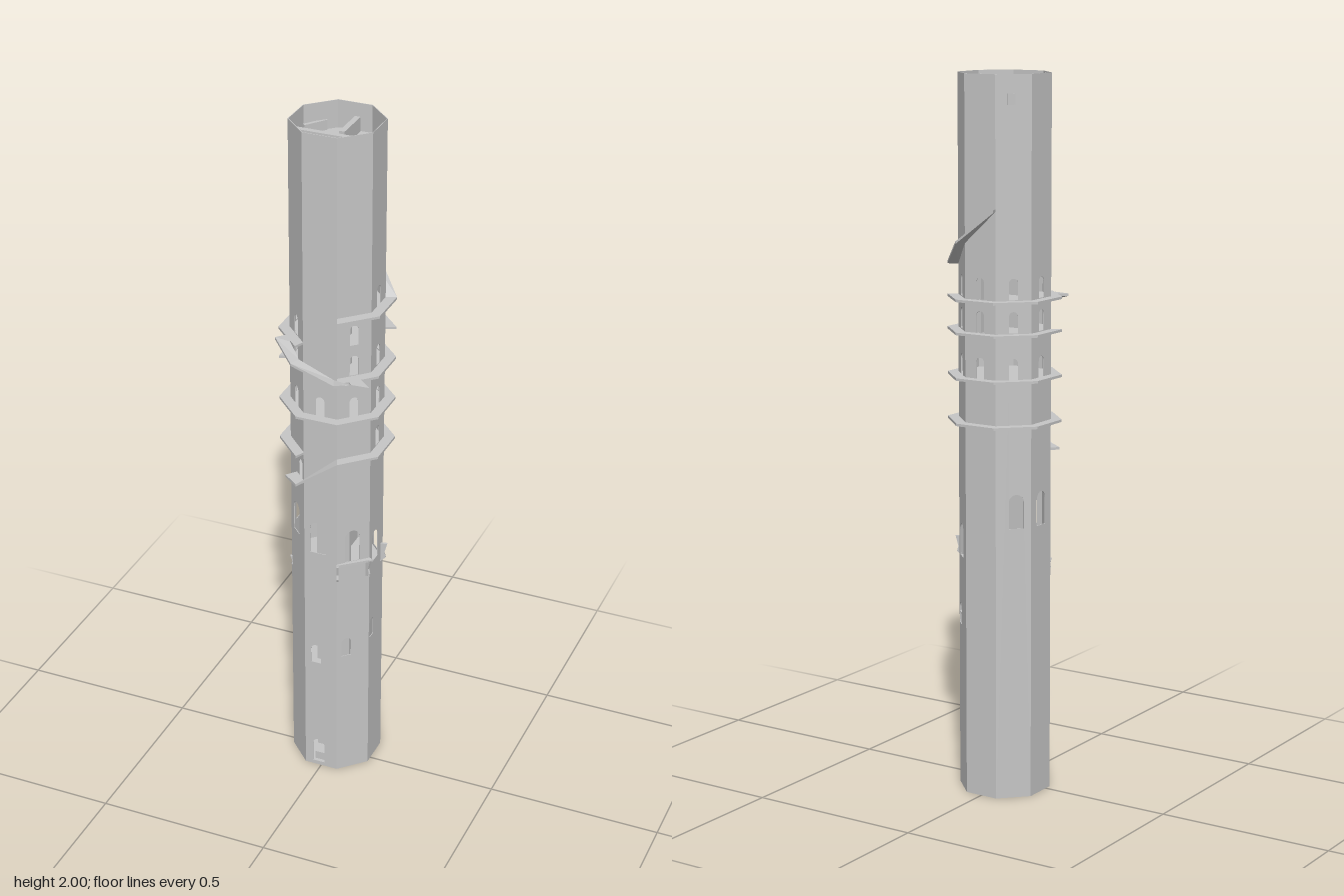
import * as THREE from 'three';

const CZ = -0.029, A = 0.119, T = Math.tan(Math.PI / 8), STEP = Math.PI / 4;

export function createModel() {
  const tower = new THREE.Group();
  tower.name = 'tower';
  const stone = new THREE.MeshStandardMaterial({ color: 0xc6c6c6, flatShading: true, side: THREE.DoubleSide });
  stone.name = 'grey stone';

  const add = (name, geo, x = 0, y = 0, z = 0, ry = 0) => {
    const m = new THREE.Mesh(geo, stone);
    m.name = name;
    m.position.set(x, y, z);
    m.rotation.y = ry;
    tower.add(m);
    return m;
  };
  const box = (name, w, h, d, x, y, z, ry) => add(name, new THREE.BoxGeometry(w, h, d), x, y, z, ry);

  // Octagon corner; face k lies between corners k and k + 1, face 0 is the front
  const corner = (k, a, y) => {
    const r = a / Math.cos(Math.PI / 8), t = (k - 0.5) * STEP;
    return [r * Math.sin(t), y, CZ + r * Math.cos(t)];
  };

  // Walkway slab through matching inner and outer edge points
  const walkway = (name, inner, outer, thick = 0.007) => {
    const pos = [], idx = [], n = inner.length;
    for (let i = 0; i < n; i++) {
      const [a, b] = [inner[i], outer[i]];
      pos.push(...a, ...b, b[0], b[1] - thick, b[2], a[0], a[1] - thick, a[2]);
      if (i < n - 1) {
        for (let j = 0; j < 4; j++) {
          const p = i * 4 + j, q = i * 4 + (j + 1) % 4;
          idx.push(p, q, p + 4, q, q + 4, p + 4);
        }
      }
    }
    const e = (n - 1) * 4;
    idx.push(0, 2, 1, 0, 3, 2, e, e + 1, e + 2, e, e + 2, e + 3);
    // Reverse each triangle so the outside faces forward
    for (let i = 0; i < idx.length; i += 3) [idx[i + 1], idx[i + 2]] = [idx[i + 2], idx[i + 1]];
    const g = new THREE.BufferGeometry();
    g.setAttribute('position', new THREE.Float32BufferAttribute(pos, 3));
    g.setIndex(idx);
    g.computeVertexNormals();
    add(name, g);
  };
  const ring = (name, y, from, to) => {
    const inner = [], outer = [];
    for (let k = from; k <= to + 1; k++) {
      inner.push(corner(k, A - 0.001, y));
      outer.push(corner(k, 0.147, y));
    }
    walkway(name, inner, outer);
  };

  // Arched opening: u offset, bottom, width, height
  const arch = ([u, y, w, h]) => {
    const p = new THREE.Path(), r = w / 2;
    p.moveTo(u - r, y);
    p.lineTo(u + r, y);
    p.lineTo(u + r, y + h - r);
    p.absarc(u, y + h - r, r, 0, Math.PI, false);
    p.lineTo(u - r, y);
    return p;
  };
  const row = (...ys) => ys.map(y => [0, y, 0.025, 0.058]);
  const openings = [
    [[-0.008, 0.012, 0.036, 0.08], [-0.015, 0.365, 0.032, 0.06], [-0.008, 0.74, 0.048, 0.1], ...row(1.183)],
    [[-0.02, 0.4, 0.03, 0.06], [-0.003, 0.718, 0.044, 0.1], ...row(1.183, 1.31, 1.4)],
    [[-0.03, 0.44, 0.026, 0.06], [-0.01, 0.69, 0.042, 0.095], ...row(1.06, 1.183, 1.31, 1.488)],
    [[-0.03, 0.47, 0.03, 0.06], [-0.01, 0.668, 0.046, 0.095], ...row(1.183, 1.31, 1.4)],
    row(1.183, 1.31, 1.4),
    [[0.008, 0.77, 0.042, 0.095], ...row(1.183, 1.31, 1.4)],
    [[0, 0.77, 0.042, 0.095], ...row(1.183, 1.31, 1.4)],
    [[-0.008, 0.77, 0.042, 0.095], [0.027, 0.968, 0.025, 0.055], ...row(1.183, 1.31, 1.4)],
  ];

  // Eight thin wall panels
  openings.forEach((holes, k) => {
    const s = new THREE.Shape(), w = A * T;
    s.moveTo(-w, 0);
    s.lineTo(w, 0);
    s.lineTo(w, 2);
    s.lineTo(-w, 2);
    s.closePath();
    s.holes = holes.map(arch);
    const g = new THREE.ExtrudeGeometry(s, { depth: 0.002, bevelEnabled: false, curveSegments: 6 });
    const t = k * STEP;
    add('wallPanel', g, (A - 0.002) * Math.sin(t), 0, CZ + (A - 0.002) * Math.cos(t), t);
  });

  // Octagonal floors
  const floorR = (A - 0.001) / Math.cos(Math.PI / 8);
  for (const y of [0.002, 0.31, 0.5, 0.66, 0.87, 0.965, 1.055, 1.18, 1.305, 1.395, 1.48, 1.92]) {
    add('floor', new THREE.CylinderGeometry(floorR, floorR, 0.004, 8), 0, y, CZ, Math.PI / 8);
  }

  // Inner partitions, with a gap at the lookout storey
  for (const [y0, y1] of [[0, 1.18], [1.245, 1.92]]) {
    box('partition', 0.1, y1 - y0, 0.012, 0, (y0 + y1) / 2, -0.006);
    box('crossPartition', 0.015, y1 - y0, 0.105, 0.008, (y0 + y1) / 2, -0.09);
  }
  // Low walls, ledges and blocks on the top floor
  box('topWall', 0.235, 0.045, 0.016, 0, 1.94, -0.013);
  box('topLedge', 0.22, 0.03, 0.017, 0.007, 1.935, -0.029);
  box('topCrossWall', 0.016, 0.045, 0.107, 0.008, 1.94, -0.091);
  box('topBlock', 0.016, 0.03, 0.05, -0.01, 1.935, -0.062);
  box('topBlock', 0.045, 0.022, 0.018, 0.065, 1.931, -0.046);
  box('topBrace', 0.07, 0.03, 0.01, -0.092, 1.935, -0.095, 0.95);

  // Entrance step
  box('entranceStep', 0.03, 0.025, 0.02, -0.008, 0.025, 0.07);

  // Walkway rings
  ring('lowerWalkway', 1.058, 1, 7);
  ring('middleWalkway', 1.183, 0, 7);
  ring('upperWalkway', 1.308, 1, 6);
  ring('highWalkway', 1.398, 3, 7);
  ring('topWalkway', 1.488, 1, 2);

  // Front ramp between the entry landing and the lower walkway
  const rampEdge = (z, s) => [[-0.085 - s, 0.968, z - 0.037], [-0.05 - s / 2, 0.968, z], [0.049 + s / 2, 1.058, z]];
  walkway('frontRamp', rampEdge(0.089, 0), rampEdge(0.118, 0.024));

  // Bridge swinging out from the front, descending to the right
  walkway('loopBridge',
    [[-0.095, 1.398, 0.06], [-0.082, 1.398, 0.1], [-0.037, 1.376, 0.145], [0.064, 1.335, 0.145], [0.096, 1.308, 0.106], [0.07, 1.308, 0.07]],
    [[-0.11, 1.398, 0.07], [-0.13, 1.398, 0.092], [-0.048, 1.376, 0.175], [0.075, 1.335, 0.175], [0.147, 1.308, 0.102], [0.105, 1.308, 0.065]]);

  // Rising ramp at the back
  walkway('backRamp',
    [corner(3, A, 1.488), corner(4, A, 1.555), corner(5, A, 1.645)],
    [corner(3, 0.147, 1.488), corner(4, 0.147, 1.555), corner(5, 0.147, 1.645)]);

  // Broken remains of a balcony on wall brackets
  const bracket = new THREE.Shape([[0, 0], [0.02, 0], [0.012, -0.03], [0.016, -0.045], [0, -0.06]].map(p => new THREE.Vector2(...p)));
  const bracketGeo = new THREE.ExtrudeGeometry(bracket, { depth: 0.006, bevelEnabled: false });
  for (const k of [0.55, 1.45, 2.4]) {
    const t = k * STEP, a = A * 1.03;
    add('brokenBracket', bracketGeo, a * Math.sin(t), 0.715, CZ + a * Math.cos(t), t - Math.PI / 2);
  }
  const left = 6.55 * STEP;
  const stub = add('brokenBracket', bracketGeo, A * Math.sin(left), 0.665, CZ + A * Math.cos(left), left - Math.PI / 2);
  stub.scale.set(0.7, 0.6, 1);
  walkway('brokenLedge',
    [1, 2].map(k => corner(k, A - 0.001, 0.717)),
    [corner(1, 0.125, 0.717), corner(2, 0.132, 0.717)]);

  return tower;
}
